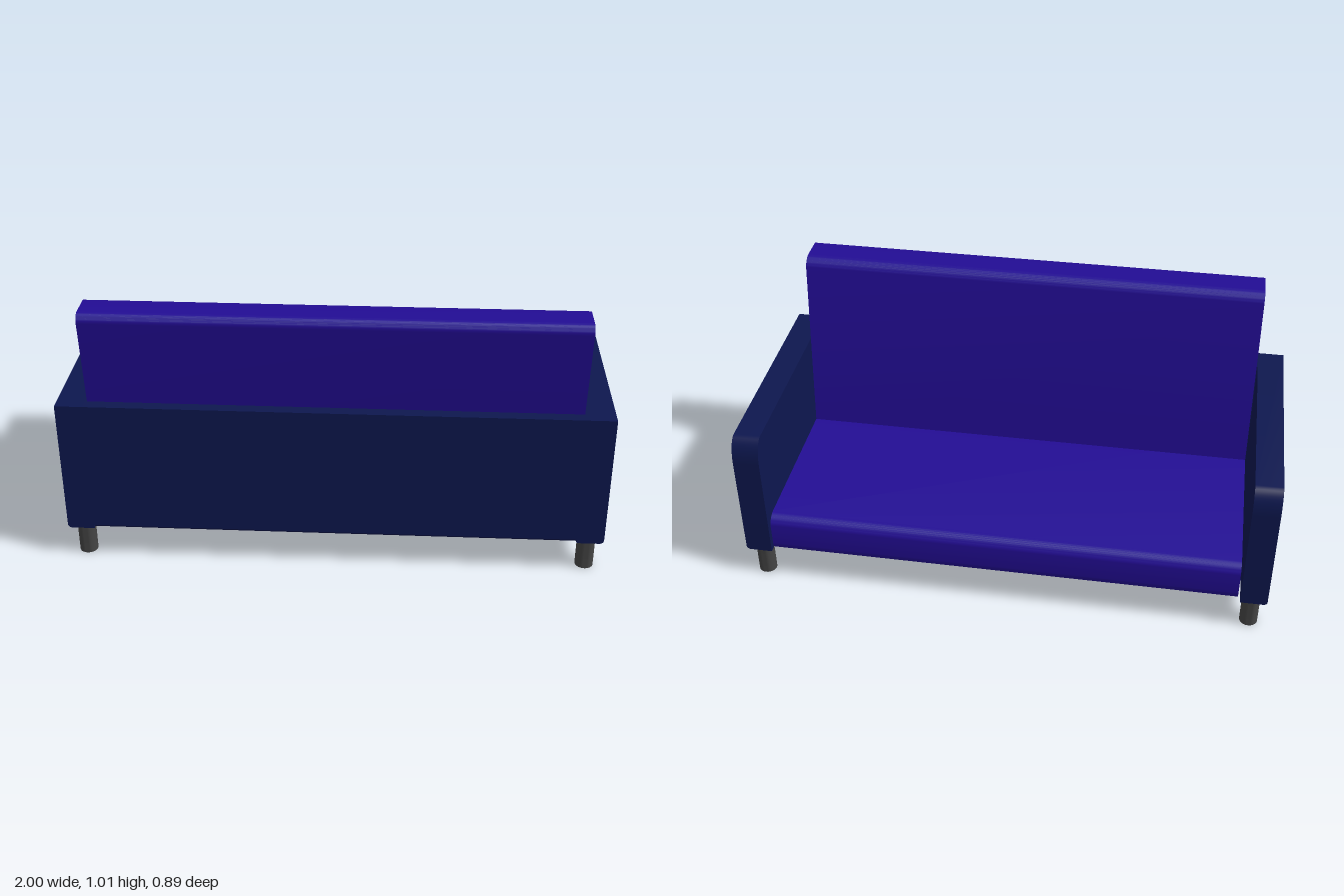
import * as THREE from 'three';
import { toCreasedNormals } from 'three/addons/utils/BufferGeometryUtils.js';

const frameMat = new THREE.MeshStandardMaterial({ color: 0x0d174f });
const cushionMat = new THREE.MeshStandardMaterial({ color: 0x220c94 });
const legMat = new THREE.MeshStandardMaterial({ color: 0x444444 });

// Polygon with rounded corners; each corner is [u, v, radiusBefore, radiusAfter]
function roundedShape(corners) {
  const shape = new THREE.Shape();
  const n = corners.length;
  corners.forEach(([u, v, before = 0, after = before], i) => {
    const c = new THREE.Vector2(u, v);
    const toward = (other, d) => new THREE.Vector2(other[0], other[1]).sub(c).setLength(d).add(c);
    const a = toward(corners[(i + n - 1) % n], before);
    const b = toward(corners[(i + 1) % n], after);
    if (i === 0) shape.moveTo(a.x, a.y);
    else shape.lineTo(a.x, a.y);
    if (before > 0) {
      const h1 = a.clone().lerp(c, 0.55);
      const h2 = b.clone().lerp(c, 0.55);
      shape.bezierCurveTo(h1.x, h1.y, h2.x, h2.y, b.x, b.y);
    }
  });
  shape.closePath();
  return shape;
}

function extrude(corners, depth) {
  const geo = new THREE.ExtrudeGeometry(roundedShape(corners), { depth, bevelEnabled: false, curveSegments: 10 });
  return geo.translate(0, 0, -depth / 2);
}

function addMesh(parent, name, geo, mat) {
  const mesh = new THREE.Mesh(toCreasedNormals(geo, 0.6), mat);
  mesh.name = name;
  parent.add(mesh);
  return mesh;
}

// Side profile given as (z, y), running across the sofa along x
const sideProfile = (corners, width) => extrude(corners, width).rotateY(-Math.PI / 2);

export function createModel() {
  const sofa = new THREE.Group();
  sofa.name = 'sofa';

  // Seat cushion with rounded front edges
  addMesh(sofa, 'seat', sideProfile([
    [-0.445, 0.127, 0.045], [0.35, 0.127], [0.35, 0.295], [-0.445, 0.295, 0.045],
  ], 1.78), cushionMat);

  // Leaning backrest cushion
  addMesh(sofa, 'backrest', sideProfile([
    [0.185, 0.2], [0.35, 0.2], [0.444, 1.01, 0.035], [0.285, 1.01, 0.04],
  ], 1.78), cushionMat);

  // Panel behind the backrest
  addMesh(sofa, 'backPanel', sideProfile([
    [0.345, 0.125], [0.43, 0.125], [0.445, 0.14], [0.445, 0.648], [0.345, 0.648],
  ], 1.8), frameMat);

  for (const side of [-1, 1]) {
    // Armrest with a rounded upper front corner
    addMesh(sofa, 'armrest', sideProfile([
      [-0.445, 0.14], [0.445, 0.14], [0.445, 0.648], [-0.445, 0.648, 0.05, 0.1],
    ], 0.1), frameMat).position.x = side * 0.95;

    // Lower strip of the armrest, softened along its outer edge
    const strip = side > 0
      ? [[0.9, 0.125], [1, 0.125, 0.015], [1, 0.14], [0.9, 0.14]]
      : [[-1, 0.125, 0.015], [-0.9, 0.125], [-0.9, 0.14], [-1, 0.14]];
    addMesh(sofa, 'armrestBase', extrude(strip, 0.89), frameMat);

    // Round legs
    for (const z of [-0.4, 0.395]) {
      addMesh(sofa, 'leg', new THREE.CylinderGeometry(0.034, 0.034, 0.13, 24), legMat)
        .position.set(side * 0.942, 0.065, z);
    }
  }
  return sofa;
}
